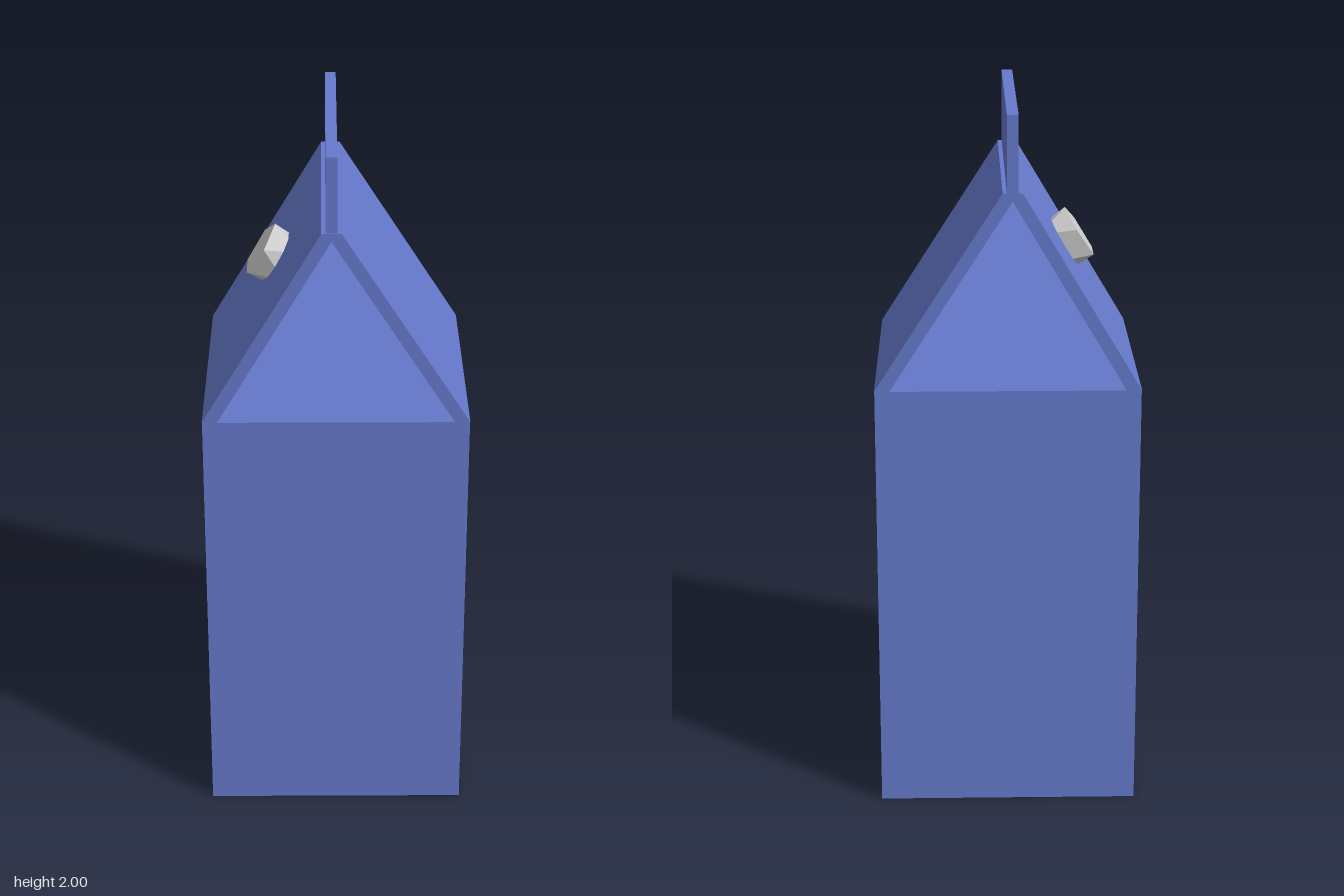
import * as THREE from 'three';
import { ConvexGeometry } from 'three/addons/geometries/ConvexGeometry.js';

const blue = new THREE.MeshStandardMaterial({ color: 0x6679cc });
blue.name = 'carton blue';
const grey = new THREE.MeshStandardMaterial({ color: 0xcccccc });
grey.name = 'cap grey';

const HALF = 0.366; // half width of the carton
const EAVE = 1.24; // height where the walls end
const RIDGE = 1.79; // height where the roof ends
const MID = -0.012; // x of the ridge

function addMesh(group, name, geometry, material) {
  const mesh = new THREE.Mesh(geometry, material);
  mesh.name = name;
  group.add(mesh);
  return mesh;
}

// A sloping slab running the full depth of the carton
function roofPanel(side) {
  const shape = new THREE.Shape([
    new THREE.Vector2(side * (HALF + 0.001), EAVE),
    new THREE.Vector2(MID + side * 0.027, RIDGE),
    new THREE.Vector2(MID, RIDGE),
    new THREE.Vector2(MID, 1.768),
    new THREE.Vector2(side * 0.325, EAVE),
  ]);
  const geometry = new THREE.ExtrudeGeometry(shape, { depth: 2 * HALF, bevelEnabled: false });
  return geometry.translate(0, 0, -HALF);
}

// A pentagonal antiprism along +y, sunk into the roof
function capGeometry() {
  const points = [];
  for (let i = 0; i < 5; i++) {
    const a = (i * 2 * Math.PI) / 5;
    const b = a + Math.PI / 5;
    points.push(new THREE.Vector3(0.083 * Math.cos(a), 0, 0.083 * Math.sin(a)));
    points.push(new THREE.Vector3(0.078 * Math.cos(b), -0.098, 0.078 * Math.sin(b)));
  }
  return new ConvexGeometry(points);
}

export function createModel() {
  const group = new THREE.Group();
  group.name = 'carton';

  // Box body whose top folds inward to a point under the ridge
  const corners = [new THREE.Vector3(MID, 1.775, 0)];
  for (const x of [-HALF, HALF])
    for (const z of [-HALF, HALF])
      for (const y of [0, EAVE]) corners.push(new THREE.Vector3(x, y, z));
  addMesh(group, 'body', new ConvexGeometry(corners), blue);

  // Roof panels
  addMesh(group, 'leftRoofPanel', roofPanel(1), blue);
  addMesh(group, 'rightRoofPanel', roofPanel(-1), blue);

  // Upright sealed fin on the ridge
  const fin = addMesh(group, 'topFin', new THREE.BoxGeometry(0.031, 0.22, 2 * HALF - 0.004), blue);
  fin.position.set(MID, 1.89, -0.001);

  // Screw cap on the right roof panel, square to the slope
  const cap = addMesh(group, 'cap', capGeometry(), grey);
  cap.position.set(-0.212, 1.603, -0.012);
  cap.rotation.z = Math.atan2(0.843, 0.537);

  return group;
}
